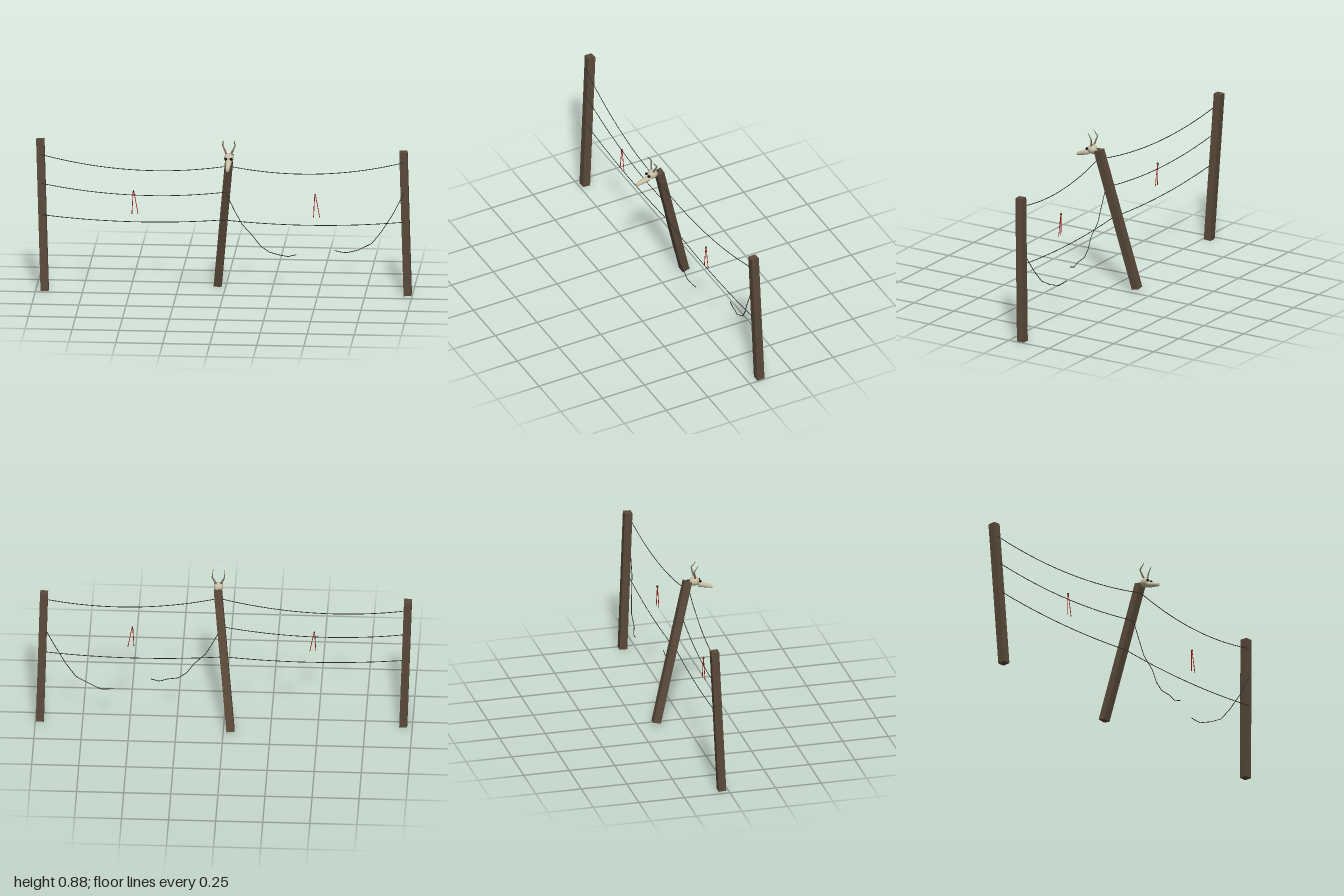
import * as THREE from 'three';

const V = (x, y, z) => new THREE.Vector3(x, y, z);
const mat = (color, flat = false) => new THREE.MeshStandardMaterial({ color, flatShading: flat });

export function createModel() {
  const root = new THREE.Group();
  const wood = mat(0x5a4a3a, true);
  const steel = mat(0x2a2a2c);
  const bone = mat(0xc8bfa5);
  const horn = mat(0x7a715c);
  const black = mat(0x141210);
  const red = mat(0xa01818);

  const add = (parent, name, geo, material, pos) => {
    const mesh = new THREE.Mesh(geo, material);
    mesh.name = name;
    if (pos) mesh.position.copy(pos);
    parent.add(mesh);
    return mesh;
  };
  // place a y-aligned geometry between two points
  const between = (parent, name, a, b, makeGeo, material) => {
    const dir = b.clone().sub(a);
    const mesh = add(parent, name, makeGeo(dir.length()), material, a.clone().add(b).multiplyScalar(0.5));
    mesh.quaternion.setFromUnitVectors(V(0, 1, 0), dir.normalize());
    return mesh;
  };
  const rod = (r0, r1, sides = 8) => (len) => new THREE.CylinderGeometry(r1, r0, len, sides);

  // leaning square posts: [name, foot, top]
  const posts = [
    ['rightPost', V(-0.952, 0.002, -0.034), V(-0.979, 0.821, -0.08)],
    ['middlePost', V(-0.04, 0.016, -0.152), V(0.036, 0.779, 0.039)],
    ['leftPost', V(0.976, 0.002, -0.069), V(0.955, 0.796, -0.046)],
  ];
  for (const [name, foot, top] of posts)
    between(root, name, foot, top, (len) => new THREE.BoxGeometry(0.042, len, 0.042), wood);

  // point on the front face of a post at a given height
  const onPost = (i, y) => {
    const [, a, b] = posts[i];
    const p = a.clone().lerp(b, (y - a.y) / (b.y - a.y));
    p.z += 0.022;
    return p;
  };

  // sagging wires
  const wires = new THREE.Group();
  wires.name = 'wires';
  root.add(wires);
  const sagging = (name, a, b, sag) => {
    const pts = [];
    for (let i = 0; i <= 12; i++) {
      const t = i / 12, p = a.clone().lerp(b, t);
      p.y -= 4 * sag * t * (1 - t);
      pts.push(p);
    }
    add(wires, name, new THREE.TubeGeometry(new THREE.CatmullRomCurve3(pts), 32, 0.002, 6), steel);
  };
  sagging('topWireRight', onPost(0, 0.742), onPost(1, 0.724), 0.053);
  sagging('topWireLeft', onPost(1, 0.724), onPost(2, 0.74), 0.053);
  sagging('middleWireRight', onPost(0, 0.585), onPost(1, 0.57), 0.04);
  sagging('bottomWireRight', onPost(0, 0.415), onPost(1, 0.406), 0.024);
  sagging('bottomWireLeft', onPost(1, 0.406), onPost(2, 0.412), 0.024);

  // snapped middle wire, both loose ends hanging in kinks
  const broken = (name, pts) => {
    const path = new THREE.CurvePath();
    for (let i = 1; i < pts.length; i++) path.add(new THREE.LineCurve3(pts[i - 1], pts[i]));
    add(wires, name, new THREE.TubeGeometry(path, 60, 0.002, 6), steel);
  };
  broken('brokenWireInner', [
    onPost(1, 0.568), V(0.06, 0.47, 0.009), V(0.1, 0.395, 0.006), V(0.16, 0.33, 0.012),
    V(0.2, 0.275, 0.004), V(0.245, 0.243, 0), V(0.3, 0.23, 0.008), V(0.345, 0.22, 0), V(0.39, 0.232, 0.001),
  ]);
  broken('brokenWireOuter', [
    onPost(2, 0.575), V(0.9, 0.455, -0.037), V(0.84, 0.355, -0.055), V(0.785, 0.282, -0.07),
    V(0.71, 0.242, -0.075), V(0.65, 0.222, -0.094), V(0.62, 0.224, -0.096), V(0.585, 0.231, -0.1),
  ]);

  // forked red hangers with a dark ring at the top
  for (const [name, x, z] of [['rightHanger', -0.478, -0.008], ['leftHanger', 0.488, -0.006]]) {
    const hanger = new THREE.Group();
    hanger.name = name;
    hanger.position.set(x, 0.56, z);
    root.add(hanger);
    const ring = add(hanger, 'ring', new THREE.TorusGeometry(0.005, 0.002, 6, 12), steel);
    ring.rotation.y = Math.PI / 2;
    between(hanger, 'outerLeg', V(-0.002, 0, 0), V(-0.008, -0.122, 0.006), rod(0.002, 0.002, 6), red);
    between(hanger, 'innerLeg', V(0.002, 0, 0), V(0.024, -0.122, 0), rod(0.002, 0.002, 6), red);
  }

  // horned skull on the middle post
  const skull = new THREE.Group();
  skull.name = 'skull';
  skull.position.set(0.035, 0.777, 0.078);
  root.add(skull);
  add(skull, 'cranium', new THREE.SphereGeometry(0.028, 24, 16), bone).scale.set(0.9, 0.92, 1);
  // snout slopes down while its ends stay upright
  const snout = new THREE.CylinderGeometry(0.009, 0.017, 0.075, 16).rotateX(Math.PI / 2);
  const p = snout.attributes.position;
  for (let i = 0; i < p.count; i++) p.setY(i, p.getY(i) - 0.31 * p.getZ(i));
  snout.computeVertexNormals();
  add(skull, 'snout', snout, bone, V(0, -0.03, 0.059));
  between(skull, 'nail', V(0, 0.01, -0.04), V(0, 0.008, -0.015), rod(0.002, 0.002), steel);
  for (const s of [1, -1]) {
    const side = s > 0 ? 'left' : 'right';
    add(skull, side + 'EyeSocket', new THREE.SphereGeometry(0.0075, 12, 8), black, V(s * 0.014, 0.001, 0.028));
    const base = V(s * 0.012, 0.02, 0), bend = V(s * 0.033, 0.066, -0.01), tip = V(s * 0.029, 0.099, 0.014);
    between(skull, side + 'HornBase', base, bend, rod(0.0055, 0.0035), horn);
    between(skull, side + 'HornTip', bend, tip, rod(0.0035, 0.0012), horn);
  }
  return root;
}
